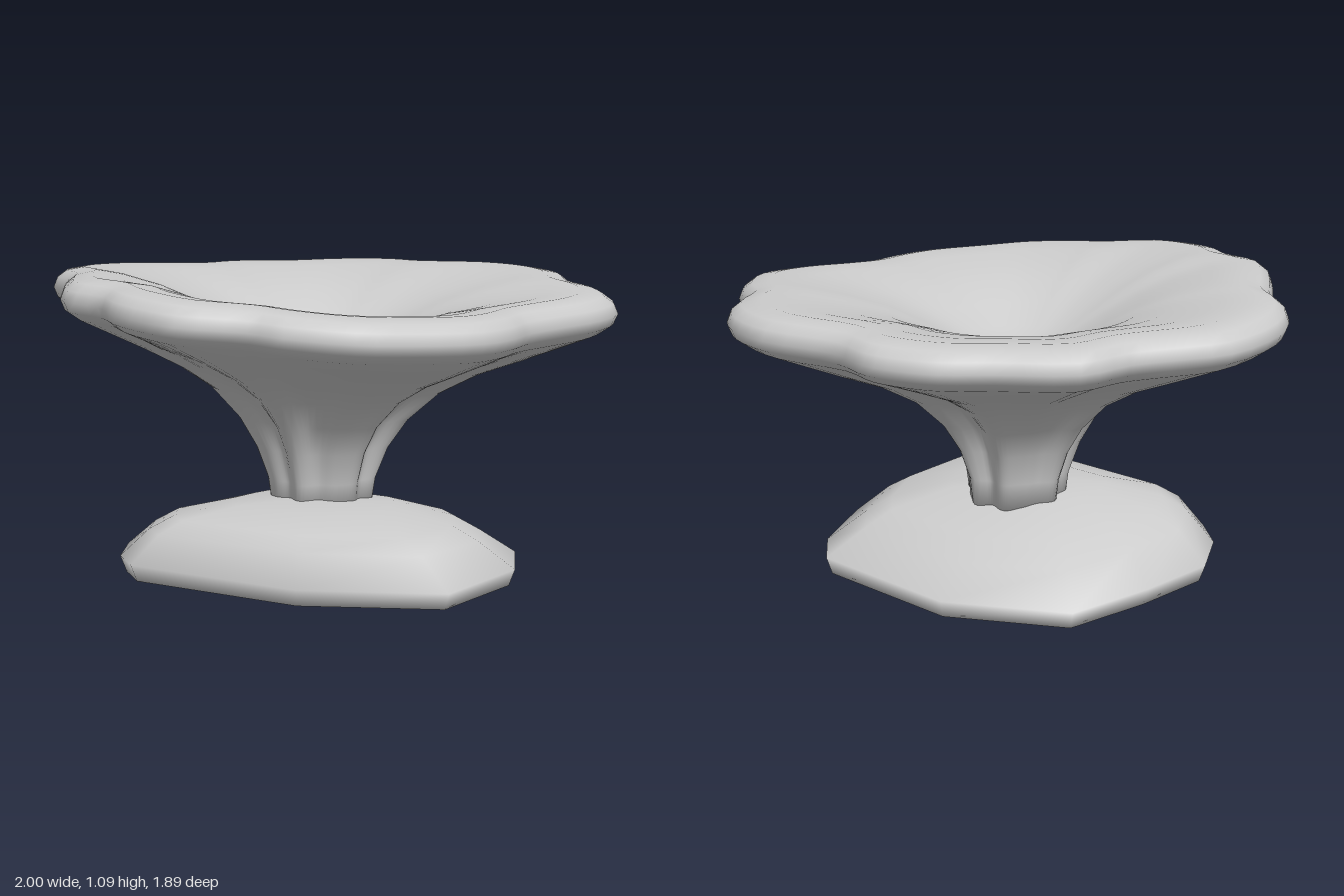
import * as THREE from 'three';

// Skin a stack of closed rings (bottom to top, each running from +x towards +z), capping both ends
function loft(rings, bottom, top) {
  const n = rings[0].length;
  const points = [bottom, ...rings.flat(), top];
  const index = [];
  const at = (i, j) => 1 + i * n + (j % n);
  const last = points.length - 1;
  for (let j = 0; j < n; j++) {
    index.push(0, at(0, j), at(0, j + 1));
    for (let i = 0; i < rings.length - 1; i++) {
      const a = at(i, j), b = at(i, j + 1), c = at(i + 1, j), d = at(i + 1, j + 1);
      index.push(a, c, b, b, c, d);
    }
    index.push(last, at(rings.length - 1, j + 1), at(rings.length - 1, j));
  }
  const geometry = new THREE.BufferGeometry().setFromPoints(points);
  geometry.setIndex(index);
  geometry.computeVertexNormals();
  return geometry;
}

const V = (x, y, z) => new THREE.Vector3(x, y, z);

// Lobed outline of the cap as x, z pairs
const capOutline = [
  [1, -0.08], [0.96, 0.08], [0.87, 0.22], [0.78, 0.37], [0.75, 0.5], [0.68, 0.65], [0.5, 0.8],
  [0.34, 0.9], [0.12, 0.92], [0, 0.9], [-0.22, 0.94], [-0.38, 0.87], [-0.48, 0.79], [-0.56, 0.69],
  [-0.71, 0.6], [-0.8, 0.4], [-0.87, 0.2], [-0.96, 0.08], [-1, -0.12], [-0.93, -0.37],
  [-0.78, -0.5], [-0.68, -0.59], [-0.59, -0.75], [-0.35, -0.85], [-0.2, -0.93], [-0.08, -0.95],
  [0.05, -0.94], [0.2, -0.86], [0.48, -0.83], [0.66, -0.73], [0.76, -0.6], [0.82, -0.41], [0.93, -0.27],
];

// Angular plan of the rock as x, z pairs
const rockOutline = [
  [0.7, 0.12], [0.56, 0.55], [0.08, 0.65], [-0.55, 0.46], [-0.64, 0.32], [-0.69, 0.1],
  [-0.585, -0.17], [-0.435, -0.45], [0.01, -0.53], [0.56, -0.34], [0.65, -0.18],
];

function capGeometry() {
  const curve = new THREE.CatmullRomCurve3(capOutline.map(([x, z]) => V(x, 0, z)), true);
  const edge = curve.getPoints(99).slice(0, 99);
  // Height of the wavy rim relative to its mean
  const wave = (a) => 0.022 * Math.cos(2 * (a - 2.36)) + 0.027 * Math.cos(a - 2.6);

  // [radius, height, how far the ring follows the lobes and waves, rib depth]
  const profile = [
    [0.165, 0.26, 0, 0.05], [0.175, 0.36, 0, 0.07], [0.21, 0.47, 0, 0.09], [0.27, 0.57, 0.1, 0.09],
    [0.38, 0.67, 0.3, 0.06], [0.52, 0.745, 0.5, 0.04], [0.68, 0.805, 0.75, 0.025], [0.83, 0.86, 0.9, 0.01],
    [0.94, 0.9, 1, 0], [0.985, 0.93, 1, 0], [1, 0.965, 1, 0], [0.985, 1, 1, 0], [0.95, 1.025, 1, 0],
    [0.88, 1.038, 1, 0], [0.76, 1.025, 0.9, 0], [0.6, 0.995, 0.7, 0], [0.45, 0.955, 0.4, 0],
    [0.32, 0.9, 0.2, 0], [0.2, 0.84, 0.1, 0], [0.09, 0.805, 0, 0],
  ];
  const rings = profile.map(([r, y, follow, rib]) => edge.map((p) => {
    const a = Math.atan2(p.z, p.x);
    const ribs = 1 + rib * (Math.cos(7 * a + 0.6) + 0.5 * Math.cos(11 * a));
    const reach = r * ribs * THREE.MathUtils.lerp(1, p.length(), follow);
    const shift = 0.035 * (1 - follow);
    return V(Math.cos(a) * reach, y + follow * wave(a), Math.sin(a) * reach + shift);
  }));
  return loft(rings, V(0, 0.26, 0.035), V(0, 0.795, 0.035));
}

function rockGeometry() {
  // [scale, z offset, height, slope of the ring along z]
  const layers = [
    [0.97, 0, 0.027, 0.052], [1, 0, 0.085, 0.05], [0.83, 0.06, 0.178, 0.08],
    [0.7, 0.08, 0.23, 0.07], [0.4, 0.11, 0.285, 0.04],
  ];
  const rings = layers.map(([s, dz, y, slope]) => rockOutline.map(([x, z]) => {
    const pz = z * s + dz;
    return V(x * s, y + slope * pz, pz);
  }));
  return loft(rings, V(0, 0.027, 0), V(0, 0.31, 0.15));
}

export function createModel() {
  const model = new THREE.Group();
  const material = new THREE.MeshStandardMaterial({ color: 0xcccccc });
  const add = (name, geometry) => {
    const mesh = new THREE.Mesh(geometry, material);
    mesh.name = name;
    model.add(mesh);
  };
  add('stalkAndCap', capGeometry());
  add('rockBase', rockGeometry());
  return model;
}
